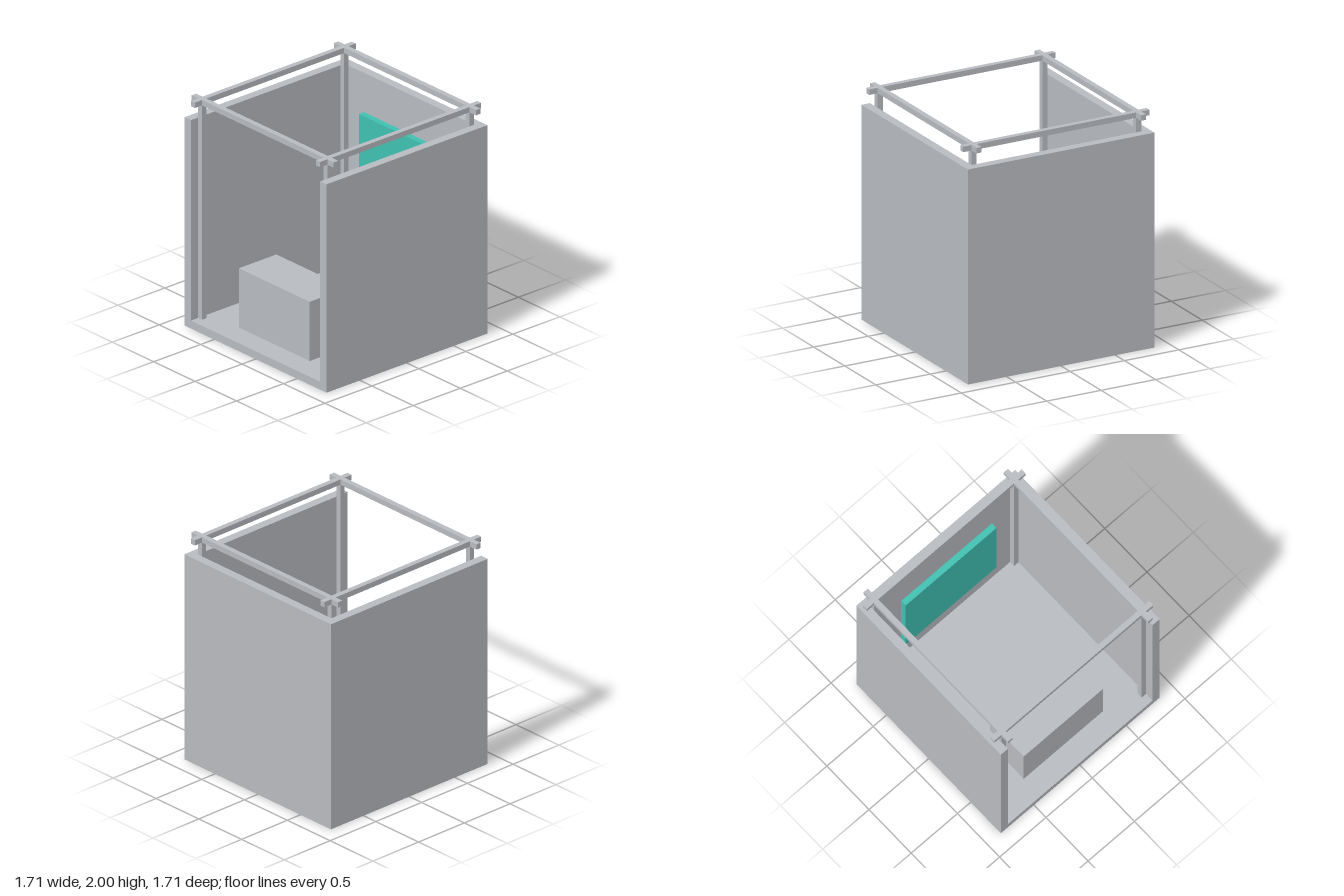
import * as THREE from 'three';

export function createModel() {
  const model = new THREE.Group();
  model.name = 'booth';

  const grey = new THREE.MeshStandardMaterial({ color: 0xb8bbc0 });
  grey.name = 'light grey';
  const teal = new THREE.MeshStandardMaterial({ color: 0x40c1b2 });
  teal.name = 'teal';

  // Box given by its lower and upper corners
  function box(name, material, [x0, y0, z0], [x1, y1, z1]) {
    const geometry = new THREE.BoxGeometry(x1 - x0, y1 - y0, z1 - z0);
    const mesh = new THREE.Mesh(geometry, material);
    mesh.position.set((x0 + x1) / 2, (y0 + y1) / 2, (z0 + z1) / 2);
    mesh.name = name;
    model.add(mesh);
  }

  const half = 0.857;      // outer half width
  const inner = 0.78;      // inside face of the walls
  const postIn = 0.733;    // inside face of posts and beams
  const floorTop = 0.07;
  const wallTop = 1.83;
  const beamBottom = 1.953;

  // Floor and three walls, open at the front
  box('floor', grey, [-inner, 0, -inner], [inner, floorTop, half]);
  box('backWall', grey, [-inner, 0, -half], [inner, wallTop, -inner]);
  box('rightWall', grey, [-half, 0, -half], [-inner, wallTop, half]);
  box('leftWall', grey, [inner, 0, -half], [half, wallTop, half]);

  // Corner posts and the crossing top beams
  const mid = (inner + postIn) / 2;
  const r = (inner - postIn) / 2;
  for (const s of [-1, 1]) {
    const c = s * mid;
    for (const t of [-1, 1]) {
      const d = t * mid;
      box('cornerPost', grey, [c - r, floorTop, d - r], [c + r, beamBottom, d + r]);
    }
    box('sideBeam', grey, [c - r, beamBottom, -half], [c + r, 2, half]);
    box('crossBeam', grey, [-half, beamBottom, c - r], [half, 2, c + r]);
  }

  // Counter near the front and display panel at the back
  box('counter', grey, [-0.428, floorTop, 0.257], [0.428, 0.59, 0.657]);
  box('displayPanel', teal, [-0.49, 0.603, -0.729], [0.49, 1.52, -0.676]);

  return model;
}
